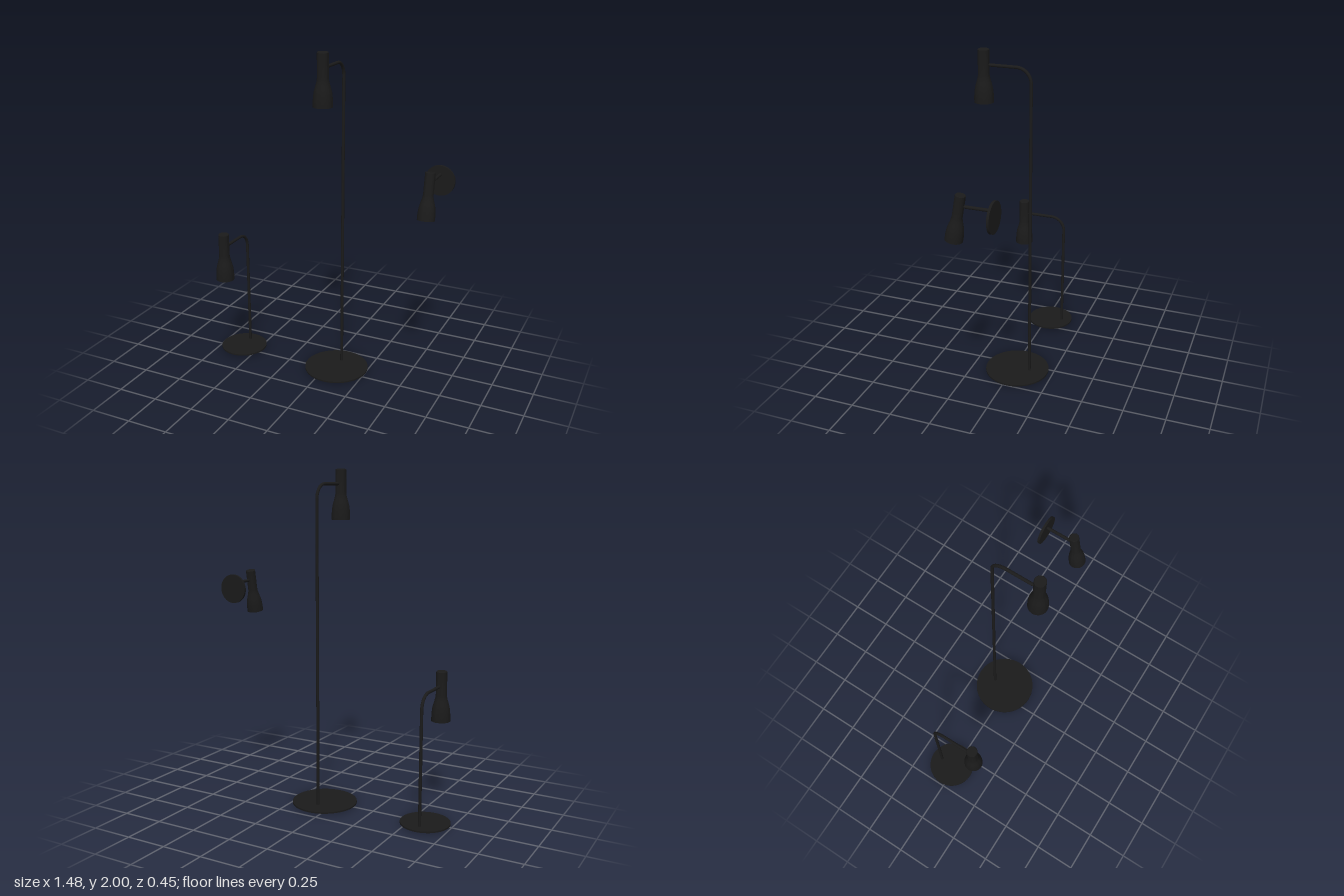
import * as THREE from 'three';
import { toCreasedNormals } from 'three/addons/utils/BufferGeometryUtils.js';

const black = new THREE.MeshStandardMaterial({ color: 0x1a1a1a });
const bulbGrey = new THREE.MeshStandardMaterial({ color: 0x999999 });

function add(parent, name, geometry, x = 0, y = 0, z = 0, material = black) {
  const mesh = new THREE.Mesh(geometry, material);
  mesh.name = name;
  mesh.position.set(x, y, z);
  parent.add(mesh);
  return mesh;
}

// Bottle-shaped shade, open below, with its origin at the centre of the rim
function createHead() {
  const head = new THREE.Group();
  head.name = 'lampHead';
  const profile = [
    [0, 0.06], [0.046, 0.06], [0.05, 0], [0.055, 0], [0.055, 0.03], [0.053, 0.055],
    [0.05, 0.08], [0.045, 0.1], [0.039, 0.12], [0.034, 0.14], [0.032, 0.155],
    [0.032, 0.291], [0.029, 0.295], [0, 0.295],
  ].map(([r, y]) => new THREE.Vector2(r, y));
  add(head, 'shade', toCreasedNormals(new THREE.LatheGeometry(profile, 40), 0.6));
  add(head, 'bulb', new THREE.CylinderGeometry(0.033, 0.028, 0.025, 32), 0, 0.05, 0, bulbGrey);
  return head;
}

// Standing lamp: round base on small feet, bent pole and upright head
function createStandingLamp(name, x, baseRadius, armY) {
  const lamp = new THREE.Group();
  lamp.name = name;
  lamp.position.x = x;
  const baseZ = -0.029, poleZ = -0.108, headZ = 0.167, bend = 0.085;

  add(lamp, 'base', new THREE.CylinderGeometry(baseRadius, baseRadius, 0.009, 64), 0, 0.0135, baseZ);
  for (let i = 0; i < 4; i++) {
    const a = i * Math.PI / 2;
    add(lamp, 'foot', new THREE.CylinderGeometry(0.006, 0.006, 0.01, 12),
      0.107 * Math.cos(a), 0.005, baseZ + 0.107 * Math.sin(a));
  }

  // Straight pole, quarter bend and horizontal arm
  const v = (y, z) => new THREE.Vector3(0, y, z);
  const poleHeight = armY - bend - 0.01;
  add(lamp, 'pole', new THREE.CylinderGeometry(0.009, 0.009, poleHeight, 16), 0, 0.01 + poleHeight / 2, poleZ);
  const k = bend * 0.448;
  const curve = new THREE.CubicBezierCurve3(
    v(armY - bend, poleZ), v(armY - k, poleZ), v(armY, poleZ + k), v(armY, poleZ + bend));
  add(lamp, 'poleBend', new THREE.TubeGeometry(curve, 20, 0.009, 16));
  const armStart = poleZ + bend, armEnd = headZ - 0.04;
  const arm = add(lamp, 'arm', new THREE.CylinderGeometry(0.009, 0.009, armEnd - armStart, 16),
    0, armY, (armStart + armEnd) / 2);
  arm.rotation.x = Math.PI / 2;
  const joint = add(lamp, 'joint', new THREE.CylinderGeometry(0.007, 0.007, 0.025, 16), 0, armY, headZ - 0.036);
  joint.rotation.x = Math.PI / 2;

  const head = createHead();
  head.position.set(0, armY - 0.209, headZ);
  lamp.add(head);
  return lamp;
}

// Wall lamp: round plate, straight arm and a smaller tilted head
function createWallLamp() {
  const lamp = new THREE.Group();
  lamp.name = 'wallLamp';
  lamp.position.x = 0.652;
  const plate = add(lamp, 'wallPlate', new THREE.CylinderGeometry(0.087, 0.087, 0.014, 48), 0, 1.288, -0.119);
  const arm = add(lamp, 'arm', new THREE.CylinderGeometry(0.009, 0.009, 0.15, 16), 0, 1.323, -0.04);
  const joint = add(lamp, 'joint', new THREE.CylinderGeometry(0.007, 0.007, 0.03, 16), 0, 1.323, 0.042);
  for (const part of [plate, arm, joint]) part.rotation.x = Math.PI / 2;
  const head = createHead();
  head.position.set(0, 1.127, 0.106);
  head.rotation.x = -0.173;
  head.scale.setScalar(0.89);
  lamp.add(head);
  return lamp;
}

export function createModel() {
  const model = new THREE.Group();
  model.name = 'lampSet';
  model.add(
    createStandingLamp('floorLamp', 0.066, 0.195, 1.914),
    createStandingLamp('tableLamp', -0.599, 0.145, 0.774),
    createWallLamp(),
  );
  return model;
}
